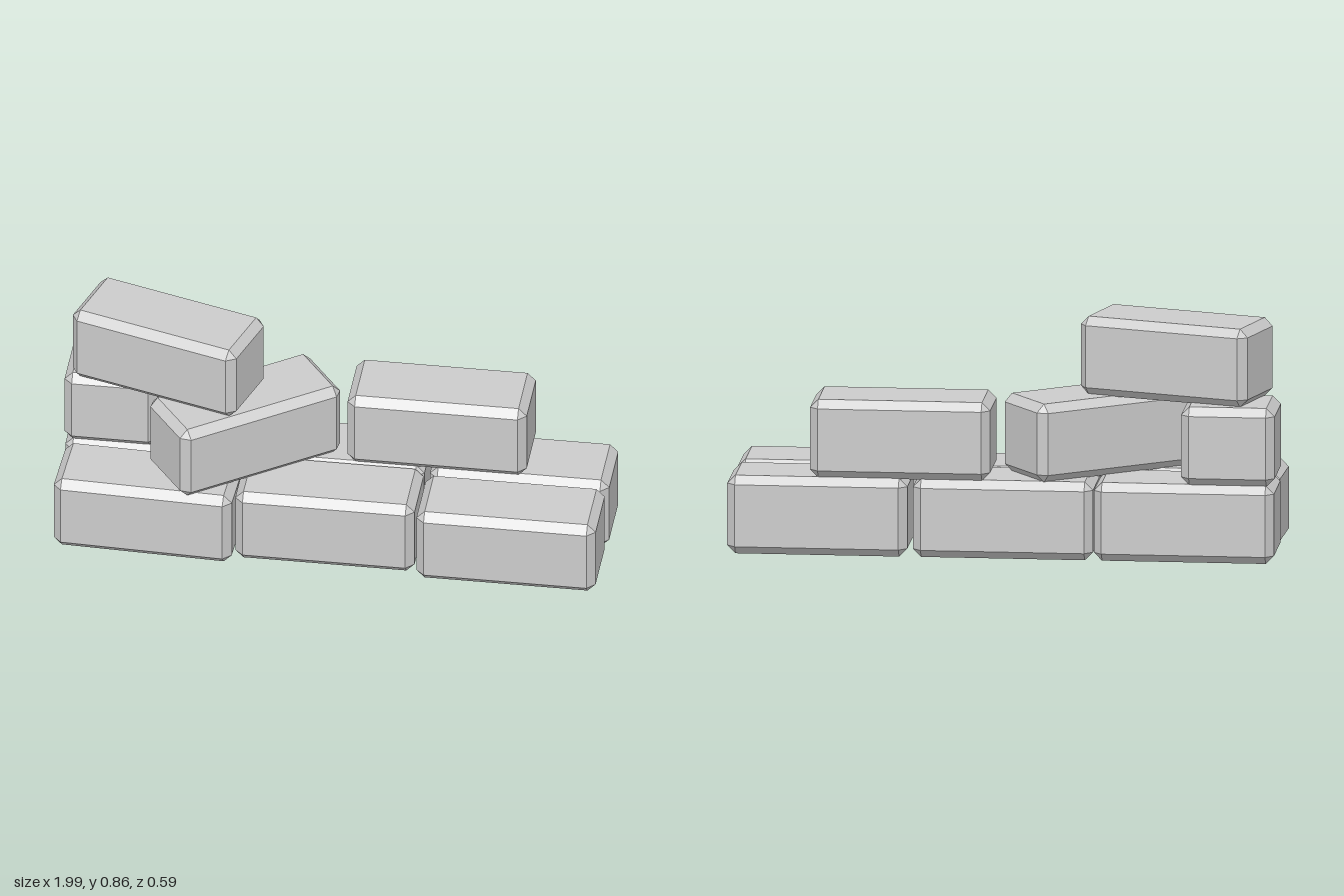
import * as THREE from 'three';
import { ConvexGeometry } from 'three/addons/geometries/ConvexGeometry.js';

const HEIGHT = 0.289, DEPTH = 0.29, FULL = 0.655, HALF = 0.34, BEVEL = 0.03;

// Box with every edge cut at 45 degrees and a small triangle at each corner
function bevelledBox(w, h, d, c) {
  const points = [];
  for (const x of [-1, 1]) for (const y of [-1, 1]) for (const z of [-1, 1]) {
    for (const [a, b, e] of [[0, c, c], [c, 0, c], [c, c, 0]]) {
      points.push(new THREE.Vector3(x * (w / 2 - a), y * (h / 2 - b), z * (d / 2 - e)));
    }
  }
  return new ConvexGeometry(points);
}

export function createModel() {
  const group = new THREE.Group();
  group.name = 'brickPile';
  const material = new THREE.MeshStandardMaterial({ color: 0xcccccc, flatShading: true });
  const fullBrick = bevelledBox(FULL, HEIGHT, DEPTH, BEVEL);
  const halfBrick = bevelledBox(HALF, HEIGHT, DEPTH, BEVEL);

  // name, x, z, layer, turn in degrees, geometry
  const bricks = [
    // bottom layer, two rows of three
    ['bottomBackLeftBrick', -0.665, -0.147, 0, 0, fullBrick],
    ['bottomBackMiddleBrick', -0.007, -0.147, 0, 0, fullBrick],
    ['bottomBackRightBrick', 0.668, -0.15, 0, 0, fullBrick],
    ['bottomFrontLeftBrick', -0.665, 0.13, 0, -2.3, fullBrick],
    ['bottomFrontMiddleBrick', -0.007, 0.106, 0, 0, fullBrick],
    ['bottomFrontRightBrick', 0.66, 0.14, 0, 0, fullBrick],
    // second layer
    ['halfBrick', -0.825, -0.147, 1, 0, halfBrick],
    ['turnedBrick', -0.33, 0.002, 1, 36, fullBrick],
    ['upperRightBrick', 0.367, -0.147, 1, 0, fullBrick],
    // top
    ['topBrick', -0.617, -0.04, 2, -17.3, fullBrick],
  ];
  for (const [name, x, z, layer, turn, geometry] of bricks) {
    const brick = new THREE.Mesh(geometry, material);
    brick.name = name;
    brick.position.set(x, HEIGHT / 2 + layer * 0.286, z);
    brick.rotation.y = THREE.MathUtils.degToRad(turn);
    group.add(brick);
  }
  return group;
}
